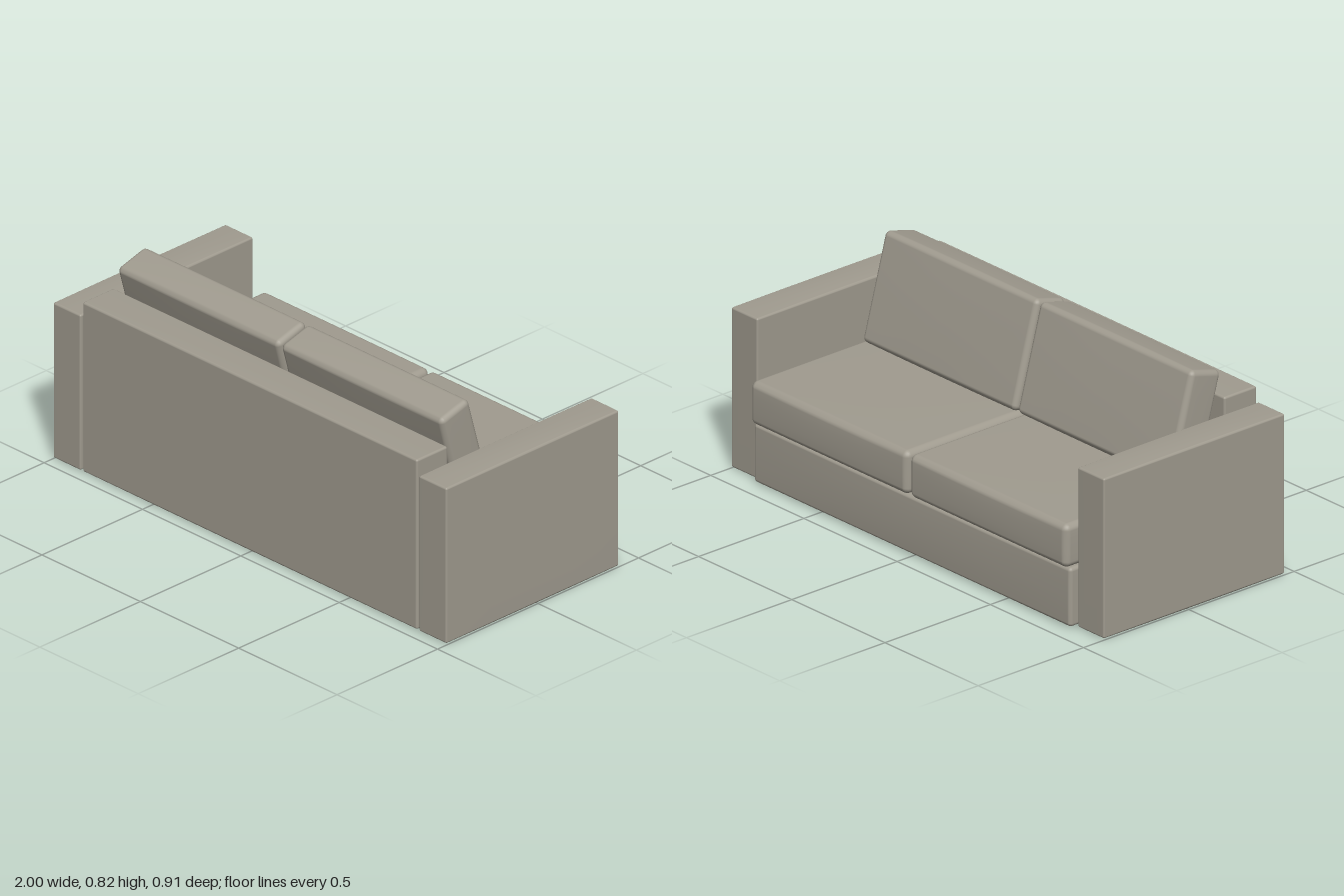
import * as THREE from 'three';
import { mergeVertices } from 'three/addons/utils/BufferGeometryUtils.js';

const AXES = ['x', 'y', 'z'];

// Upholstered block: rounded edges of radius r, each face swelling by crown[axis].
function padded(min, max, r, crown) {
  const size = max.map((v, i) => v - min[i]);
  const n = 10, edge = 3; // the outer three rows on each side form the rounded edge
  const geo = new THREE.BoxGeometry(2, 2, 2, n, n, n);
  const pos = geo.attributes.position;
  const p = new THREE.Vector3(), core = new THREE.Vector3(), dir = new THREE.Vector3();
  for (let i = 0; i < pos.count; i++) {
    p.fromBufferAttribute(pos, i);
    const unit = p.clone();
    AXES.forEach((a, k) => {
      const h = size[k] / 2, inner = h - r;
      const step = Math.round((p[a] + 1) * n / 2);
      const fromEnd = Math.min(step, n - step);
      const s = step < n / 2 ? -1 : 1;
      const d = fromEnd < edge
        ? inner + r * Math.tan((1 - fromEnd / edge) * Math.PI / 4)
        : inner * (n / 2 - fromEnd) / (n / 2 - edge);
      p[a] = s * d;
      core[a] = THREE.MathUtils.clamp(p[a], -inner, inner);
      unit[a] = p[a] / h;
    });
    dir.subVectors(p, core).normalize();
    p.copy(core).addScaledVector(dir, r);
    AXES.forEach((a, k) => {
      const [u, v] = AXES.filter(b => b !== a).map(b => 1 - unit[b] ** 2);
      p[a] += dir[a] * crown[k] * Math.sqrt(Math.max(0, u * v));
    });
    pos.setXYZ(i, p.x, p.y, p.z);
  }
  geo.deleteAttribute('normal');
  geo.deleteAttribute('uv');
  const smooth = mergeVertices(geo, 1e-5);
  smooth.computeVertexNormals();
  smooth.translate(...min.map((v, i) => (v + max[i]) / 2));
  return smooth;
}

export function createModel() {
  const sofa = new THREE.Group();
  sofa.name = 'sofa';
  const fabric = new THREE.MeshStandardMaterial({ color: 0xa09b8f });
  fabric.name = 'warm grey fabric';

  const add = (name, geo) => {
    const mesh = new THREE.Mesh(geo, fabric);
    mesh.name = name;
    sofa.add(mesh);
    return mesh;
  };

  // Frame: the seat opens toward -z, with the tall back panel on +z
  add('backPanel', padded([-0.85, 0.004, 0.302], [0.85, 0.684, 0.456], 0.008, [0, 0.003, 0]));
  add('seatBase', padded([-0.85, 0.004, -0.43], [0.85, 0.234, 0.302], 0.014, [0, 0, 0.007]));

  for (const side of [-1, 1]) {
    const label = side > 0 ? 'left' : 'right';
    const span = (a, b) => side > 0 ? [a, b] : [-b, -a];

    // Armrest with slightly domed top and bottom
    const [a0, a1] = span(0.86, 1.0);
    add(label + 'Armrest', padded([a0, 0.004, -0.403], [a1, 0.626, 0.456], 0.007, [0, 0.005, 0]));

    // Seat cushion
    const [s0, s1] = span(0.006, 0.848);
    add(label + 'SeatCushion', padded([s0, 0.236, -0.449], [s1, 0.404, 0.3], 0.024, [0.004, 0.004, 0.007]));

    // Back cushion leaning against the back panel
    const [b0, b1] = span(0.005, 0.826);
    const cushion = add(label + 'BackCushion',
      padded([b0, -0.21, -0.073], [b1, 0.207, 0.073], 0.02, [0.002, 0.004, 0.005]));
    cushion.position.set(0, 0.598, 0.186);
    cushion.rotation.x = 0.27;
  }
  return sofa;
}
